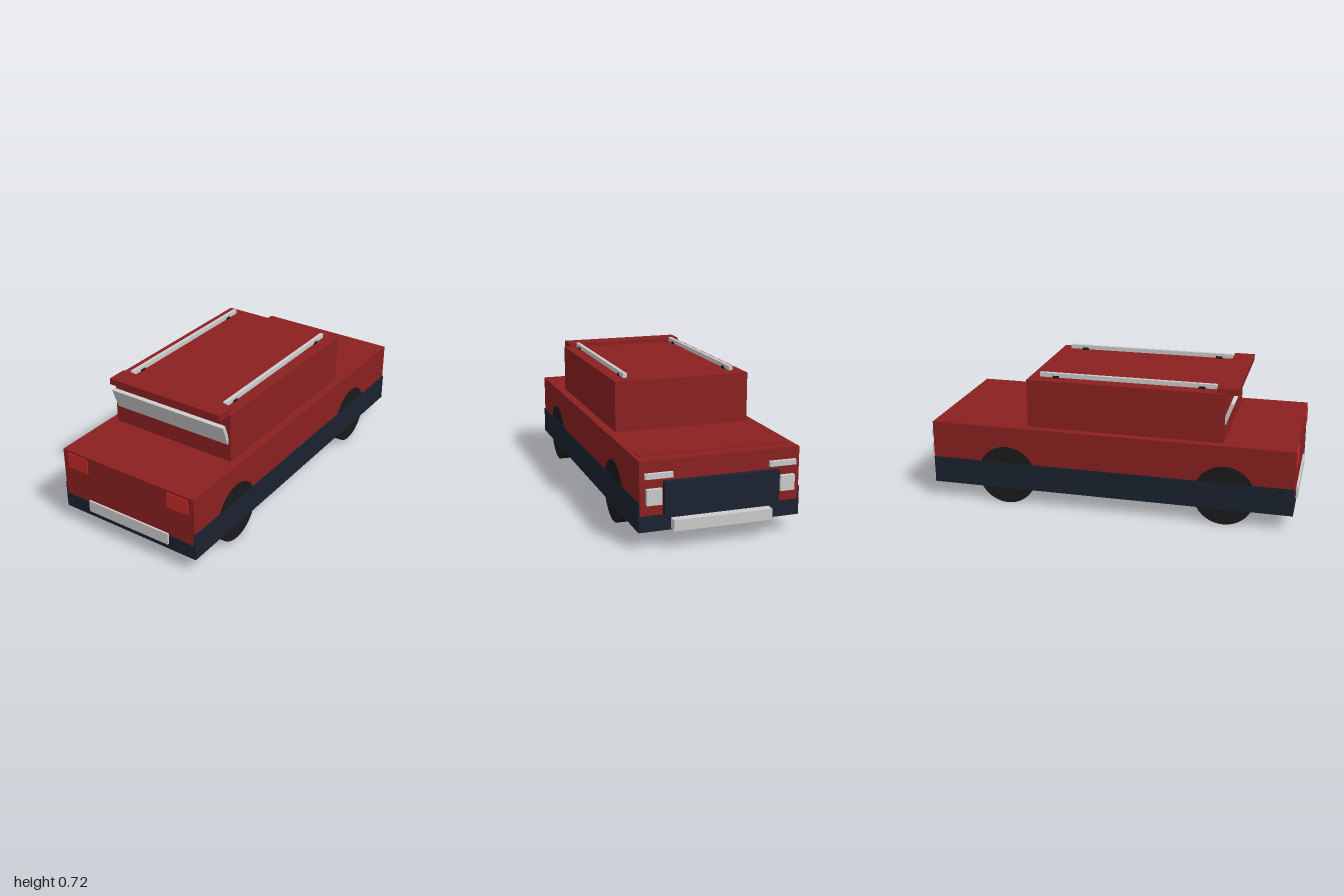
import * as THREE from 'three';

const mat = (color) => new THREE.MeshStandardMaterial({ color });

export function createModel() {
  const car = new THREE.Group();
  car.name = 'car';
  const red = mat(0x8b2020), navy = mat(0x1a2230), black = mat(0x1a1a1a);
  const lamp = mat(0xc62828), grey = mat(0xcccccc);

  // Box given by its limits on each axis
  function box(name, material, [x0, x1], [y0, y1], [z0, z1]) {
    const mesh = new THREE.Mesh(new THREE.BoxGeometry(x1 - x0, y1 - y0, z1 - z0), material);
    mesh.position.set((x0 + x1) / 2, (y0 + y1) / 2, (z0 + z1) / 2);
    mesh.name = name;
    car.add(mesh);
    return mesh;
  }
  // The same box on both sides of the car
  function pair(name, material, [x0, x1], y, z) {
    box(name + 'Left', material, [x0, x1], y, z);
    box(name + 'Right', material, [-x1, -x0], y, z);
  }

  // Body, sill and cabin
  box('body', red, [-0.405, 0.405], [0.165, 0.43], [-0.955, 0.99]);
  box('lowerBody', navy, [-0.405, 0.405], [0.085, 0.165], [-0.955, 0.99]);
  pair('sideCladding', navy, [0.4, 0.41], [0.085, 0.23], [-0.955, 0.99]);
  box('cabin', red, [-0.36, 0.36], [0.43, 0.69], [-0.43, 0.62]);

  // Roof spoiler and the tilted window below it
  box('spoiler', red, [-0.34, 0.34], [0.68, 0.713], [0.573, 0.683]);
  const win = box('window', grey, [-0.346, 0.346], [0.524, 0.642], [0.624, 0.644]);
  win.position.z = 0.635;
  win.rotation.x = 0.35;

  // Roof rails on dark feet
  pair('roofRail', grey, [0.28, 0.3], [0.695, 0.718], [-0.372, 0.568]);
  for (const z of [0.49, -0.287]) {
    pair('railFoot', black, [0.279, 0.301], [0.688, 0.704], [z - 0.018, z + 0.018]);
  }

  // Lamps and bumper on the +z end
  pair('redLamp', lamp, [0.248, 0.374], [0.335, 0.417], [0.98, 0.995]);
  box('plateBumper', grey, [-0.25, 0.25], [0.115, 0.178], [0.98, 1]);

  // Grille, lamps, slats and bumper on the -z end
  box('grille', navy, [-0.29, 0.29], [0.168, 0.33], [-0.986, -0.95]);
  pair('whiteLamp', grey, [0.3, 0.375], [0.22, 0.297], [-0.977, -0.95]);
  pair('slimLamp', grey, [0.245, 0.382], [0.346, 0.372], [-0.974, -0.95]);
  box('grilleBumper', grey, [-0.25, 0.25], [0.09, 0.145], [-1, -0.95]);

  // Thin raised panel on the bonnet
  const lip = box('bonnetLip', red, [-0.384, 0.384], [0.421, 0.433], [-0.88, -0.755]);
  lip.rotation.x = 0.04;

  // Wheels
  const wheelGeo = new THREE.CylinderGeometry(0.16, 0.16, 0.113, 40).rotateZ(Math.PI / 2);
  for (const z of [0.635, -0.54]) {
    for (const side of [1, -1]) {
      const wheel = new THREE.Mesh(wheelGeo, black);
      wheel.position.set(side * 0.3515, 0.16, z);
      wheel.name = 'wheel';
      car.add(wheel);
    }
  }
  return car;
}
